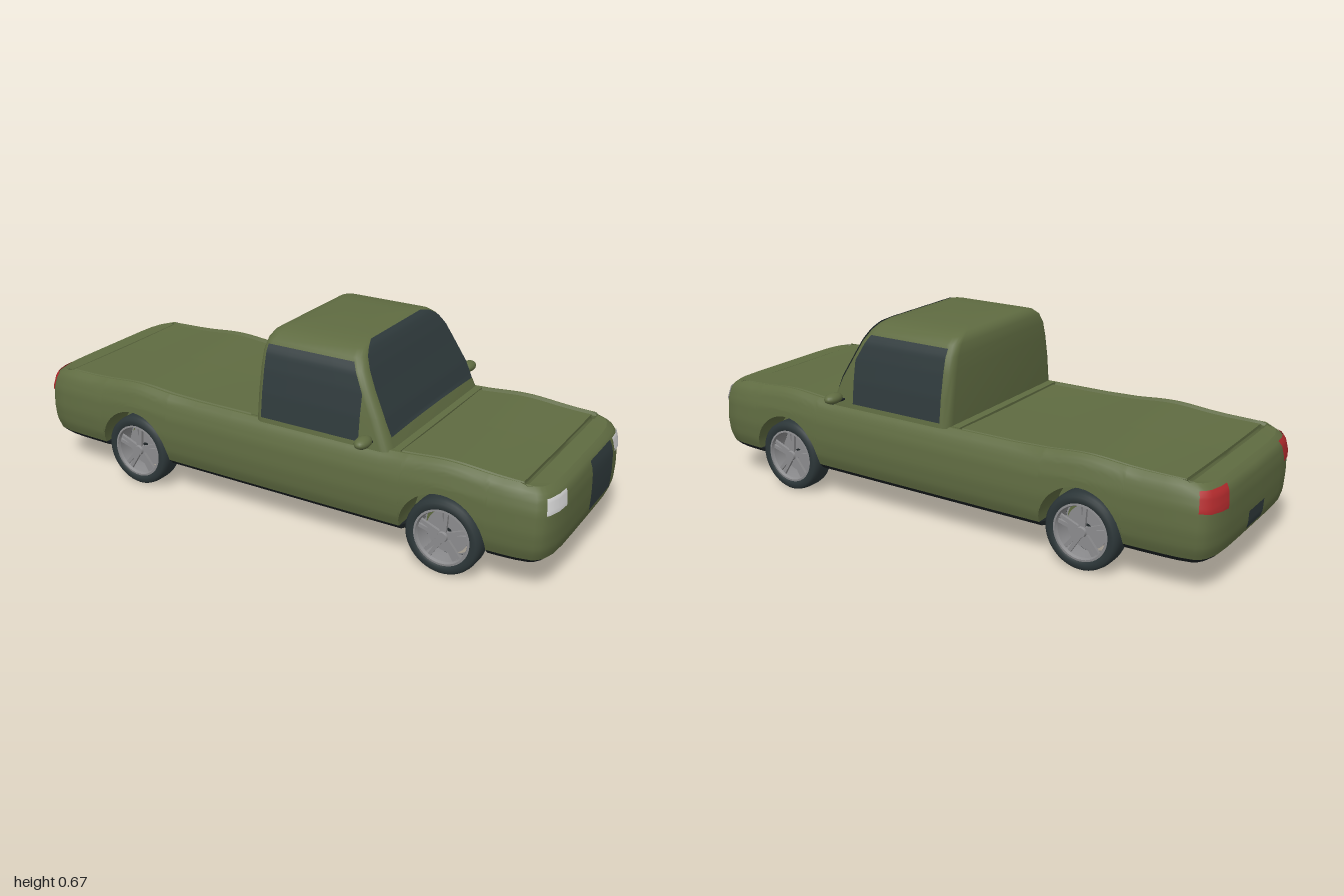
import * as THREE from 'three';
import { toCreasedNormals } from 'three/addons/utils/BufferGeometryUtils.js';

const material = (name, color) => {
  const m = new THREE.MeshStandardMaterial({ color, side: THREE.DoubleSide });
  m.name = name;
  return m;
};
const V = (x, y, z) => new THREE.Vector3(x, y, z);
const clamp = THREE.MathUtils.clamp;
const range = (a, b, n) => Array.from({ length: n + 1 }, (_, i) => a + (b - a) * i / n);

// Piecewise linear lookup: each table row is [key, value, value, ...]
function lookup(table, k, col) {
  const i = clamp(table.findIndex(r => r[0] >= k), 1, table.length - 1);
  const a = table[i - 1], b = table[i];
  const t = clamp((k - a[0]) / (b[0] - a[0]), 0, 1);
  return a[col] + (b[col] - a[col]) * t;
}

// Surface through rows of points with equal counts
function surface(rows, crease = 0.6) {
  const n = rows[0].length, index = [];
  for (let i = 0; i < rows.length - 1; i++) for (let j = 0; j < n - 1; j++) {
    const a = i * n + j, b = a + n;
    index.push(a, b, a + 1, b, b + 1, a + 1);
  }
  const g = new THREE.BufferGeometry().setFromPoints(rows.flat());
  g.setIndex(index);
  return toCreasedNormals(g, crease);
}

const WHEELS = [0.65, -0.565], ARCH = 0.148, SILL = 0.135, FLOOR = 0.107, INNER = 0.24;
const bump = d => Math.exp(-((d / 0.13) ** 2));
const topY = x => 0.374 + 0.014 * (bump(x - 0.65) + bump(x + 0.565))
  - 0.012 * clamp((Math.abs(x) - 0.9) / 0.1, 0, 1);
const halfWidth = x => 0.365 - 0.012 * x ** 4;

// Inset of the body wall by relative height: [u, sideways, lengthways]
const WALL = [[0, 0.018, 0.012], [0.15, 0.005, 0.003], [0.4, 0, 0], [0.7, 0.006, 0.001],
  [0.88, 0.02, 0.008], [0.95, 0.03, 0.018], [1, 0.045, 0.035]];
// Cab outline by height: [y, rear x, front x, half width]
const CAB = [[0.37, -0.055, 0.457, 0.337], [0.47, -0.055, 0.413, 0.325], [0.55, -0.054, 0.37, 0.31],
  [0.605, -0.052, 0.342, 0.296], [0.64, -0.048, 0.322, 0.274], [0.66, -0.04, 0.308, 0.245],
  [0.67, -0.025, 0.297, 0.21], [0.676, 0.01, 0.26, 0.15], [0.678, 0.08, 0.18, 0.03]];

function inset(x, z, y, dz, dx) {
  const end = clamp((Math.abs(x) - 0.8) / 0.2, 0, 1);
  return V(x - Math.sign(x) * dx * end, y, z * (1 - dz / 0.365));
}
function wallPoint(x, z, y) {
  const u = (y - SILL) / (topY(x) - SILL);
  return inset(x, z, y, lookup(WALL, u, 1), lookup(WALL, u, 2));
}

// Plan outline of one half of the body, front to rear, with the wheel arch heights
function bodyColumns() {
  const end = [[1, 0], [1, 0.1], [0.999, 0.2], [0.994, 0.27], [0.98, 0.315], [0.968, 0.332], [0.95, 0.345], [0.9, 0.355]];
  const plain = x => ({ x, z: halfWidth(x), low: SILL });
  const arch = cx => range(0, Math.PI, 20).map((t, i) => {
    const x = cx + ARCH * Math.cos(t);
    return { x, z: halfWidth(x), low: SILL + (ARCH + 0.006) * Math.sin(t), arch: true };
  });
  const withEdges = a => [plain(a[0].x), ...a, plain(a[a.length - 1].x)];
  return [
    ...end.map(([x, z]) => ({ x, z, low: SILL })), plain(0.84),
    ...withEdges(arch(WHEELS[0])), ...[0.42, 0.3, 0.15, 0, -0.15, -0.3].map(plain),
    ...withEdges(arch(WHEELS[1])), plain(-0.77), plain(-0.84),
    ...end.slice().reverse().map(([x, z]) => ({ x: -x, z, low: SILL })),
  ];
}

export function createModel() {
  const olive = material('olive paint', 0x5f6b41);
  const glass = material('dark glass', 0x2f3a3c);
  const under = material('underbody black', 0x1c2224);
  const rubber = material('tyre rubber', 0x2c3638);
  const metal = material('wheel metal', 0x8c8c8e);
  const lamp = material('headlight white', 0xd2d2d2);
  const red = material('tail light red', 0xb02a2c);

  const model = new THREE.Group();
  model.name = 'pickupTruck';
  const add = (name, geo, mat, parent = model) => {
    const mesh = new THREE.Mesh(geo, mat);
    mesh.name = name;
    parent.add(mesh);
    return mesh;
  };
  const mirrored = (name, rows, mat) => {
    add(name + 'Left', surface(rows), mat);
    add(name + 'Right', surface(rows.map(r => r.map(p => V(p.x, p.y, -p.z)))), mat);
  };

  // Body walls
  const cols = bodyColumns();
  mirrored('bodySide', range(0, 1, 16).map(t =>
    cols.map(c => wallPoint(c.x, c.z, c.low + (topY(c.x) - c.low) * t))), olive);

  // Hood and bed deck: rail, groove and panel
  const ring = (x, z, drop) => cols.map(c =>
    V(clamp(c.x, -x, x), topY(c.x) - drop, Math.min(c.z, z)));
  mirrored('deck', [
    cols.map(c => wallPoint(c.x, c.z, topY(c.x))), ring(0.905, 0.312, 0),
    ring(0.9, 0.306, 0.012), ring(0.893, 0.3, 0.012), ring(0.888, 0.294, 0.004),
    ring(0.888, 0.15, 0.006), ring(0.888, 0, 0.007)], olive);
  const cowl = add('cabBase', new THREE.BoxGeometry(0.565, 0.03, 0.62), olive);
  cowl.position.set(0.1975, 0.361, 0);

  // Dark underside with a turned-up edge
  const floorRow = (y, dz, dx, limit) => cols.map(c => {
    if (c.arch) return V(c.x, FLOOR, Math.min(INNER, limit));
    const p = inset(c.x, c.z, y, dz, dx);
    p.z = Math.min(p.z, limit);
    return p;
  });
  mirrored('underside', [floorRow(SILL, 0.018, 0.012, 1), floorRow(0.117, 0.035, 0.03, 1),
    floorRow(FLOOR, 0.065, 0.06, 1), floorRow(FLOOR, 0.065, 0.06, INNER), floorRow(FLOOR, 0.065, 0.06, 0)], under);

  // Wheel arch liners and inner walls
  WHEELS.forEach((cx, i) => {
    const a = cols.filter(c => c.arch && Math.abs(c.x - cx) < 0.2);
    const edge = a.map(c => wallPoint(c.x, c.z, c.low));
    const inner = a.map(c => V(c.x, c.low, INNER));
    mirrored(i ? 'rearArch' : 'frontArch', [edge, inner, a.map(c => V(c.x, FLOOR, INNER))], olive);
  });

  // Cab shell from rounded rectangles
  const cabRing = ([y, x0, x1, w]) => {
    const r = Math.min(0.035, w), pts = [];
    [[x1 - r, w - r], [x0 + r, w - r], [x0 + r, r - w], [x1 - r, r - w]].forEach(([cx, cz], q) =>
      range(0, Math.PI / 2, 5).forEach(t => {
        const a = t + q * Math.PI / 2;
        pts.push(V(cx + r * Math.cos(a), y, cz + r * Math.sin(a)));
      }));
    return [...pts, pts[0].clone()];
  };
  const rings = CAB.map(cabRing);
  rings.push(rings[0].map(() => V(0.13, 0.678, 0)));
  add('cab', surface(rings, 0.8), olive);

  // Windshield and side windows
  add('windshield', surface(range(0.408, 0.671, 30).map(y => {
    const w = Math.min(0.3, lookup(CAB, y, 3) - 0.026);
    return range(-w, w, 8).map(z => V(lookup(CAB, y, 2) + 0.004, y + 0.002 + 0.006 * (1 - (z / w) ** 2) * (y < 0.41), z));
  })), glass);
  mirrored('sideWindow', range(0.388, 0.63, 24).map(y =>
    range(-0.025, Math.min(0.345, lookup(CAB, y, 2) - 0.03), 4).map(x => V(x, y, lookup(CAB, y, 3) + 0.004))), glass);

  // Thin patches that follow the body wall
  const patch = (outline, y0, y1, flare = 0) => range(0, 1, 8).map(t => outline.map(([x, z], i) => {
    const bottom = y0 + flare * i / (outline.length - 1);
    const p = wallPoint(x, z, bottom + (y1 - bottom) * t);
    return V(p.x + Math.sign(x) * 0.003, p.y, p.z + Math.sign(z) * 0.003);
  }));
  mirrored('headlight', patch([[0.9985, 0.22], [0.994, 0.27], [0.98, 0.315], [0.974, 0.324]], 0.29, 0.34), lamp);
  mirrored('tailLight', patch([[-0.9975, 0.23], [-0.994, 0.27], [-0.98, 0.315], [-0.968, 0.332], [-0.95, 0.345]], 0.28, 0.352, 0.01), red);
  add('grille', surface(patch([[1, -0.001], [1, -0.1], [0.999, -0.203]], 0.17, 0.342)), glass);
  add('rearPlate', surface(patch([[-1, -0.06], [-1, 0.06]], 0.15, 0.21)), glass);

  // Door mirrors
  for (const s of [1, -1]) {
    const shell = add('doorMirror', new THREE.SphereGeometry(1, 20, 14), olive);
    shell.scale.set(0.025, 0.019, 0.039);
    shell.position.set(0.39, 0.414, s * 0.386);
    const arm = add('mirrorArm', new THREE.BoxGeometry(0.012, 0.006, 0.09), under);
    arm.position.set(0.39, 0.398, s * 0.355);
  }

  // Wheels
  const lathe = pts => new THREE.LatheGeometry(pts.map(p => new THREE.Vector2(...p)), 48).rotateX(Math.PI / 2);
  const tyreGeo = toCreasedNormals(lathe([[0.096, -0.04], [0.104, -0.045], [0.119, -0.044], [0.127, -0.037], [0.13, -0.02],
    [0.13, 0.02], [0.127, 0.037], [0.119, 0.044], [0.104, 0.045], [0.096, 0.04]]), 0.7);
  const rimGeo = toCreasedNormals(lathe([[0.09, -0.04], [0.097, -0.041], [0.094, 0], [0.097, 0.041], [0.09, 0.042], [0.086, 0.032]]), 0.6);
  const hubGeo = new THREE.CylinderGeometry(0.016, 0.022, 0.02, 20).rotateX(Math.PI / 2);
  const discGeo = new THREE.CylinderGeometry(0.074, 0.074, 0.008, 36).rotateX(Math.PI / 2);
  const spokeShape = new THREE.Shape([[-0.011, 0.012], [0.011, 0.012], [0.016, 0.092], [0.005, 0.092], [0, 0.05],
    [-0.005, 0.092], [-0.016, 0.092]].map(p => new THREE.Vector2(...p)));
  const spokeGeo = new THREE.ExtrudeGeometry(spokeShape, { depth: 0.01, bevelEnabled: false });
  WHEELS.forEach((x, i) => {
    for (const s of [1, -1]) {
      const wheel = new THREE.Group();
      wheel.name = (i ? 'rear' : 'front') + 'Wheel' + (s > 0 ? 'Left' : 'Right');
      wheel.position.set(x, 0.134, s * 0.305);
      wheel.rotation.y = s > 0 ? 0 : Math.PI;
      add('tyre', tyreGeo, rubber, wheel);
      add('rim', rimGeo, metal, wheel);
      add('hub', hubGeo, metal, wheel).position.z = 0.028;
      add('brakeDisc', discGeo, metal, wheel).position.z = -0.012;
      const axle = add('axle', new THREE.CylinderGeometry(0.014, 0.014, 0.09, 12).rotateX(Math.PI / 2), under, wheel);
      axle.position.z = -0.04;
      for (let k = 0; k < 5; k++) {
        const spoke = add('spoke', spokeGeo, metal, wheel);
        spoke.position.z = 0.02;
        spoke.rotation.z = k * Math.PI * 2 / 5;
      }
      model.add(wheel);
    }
  });
  return model;
}
